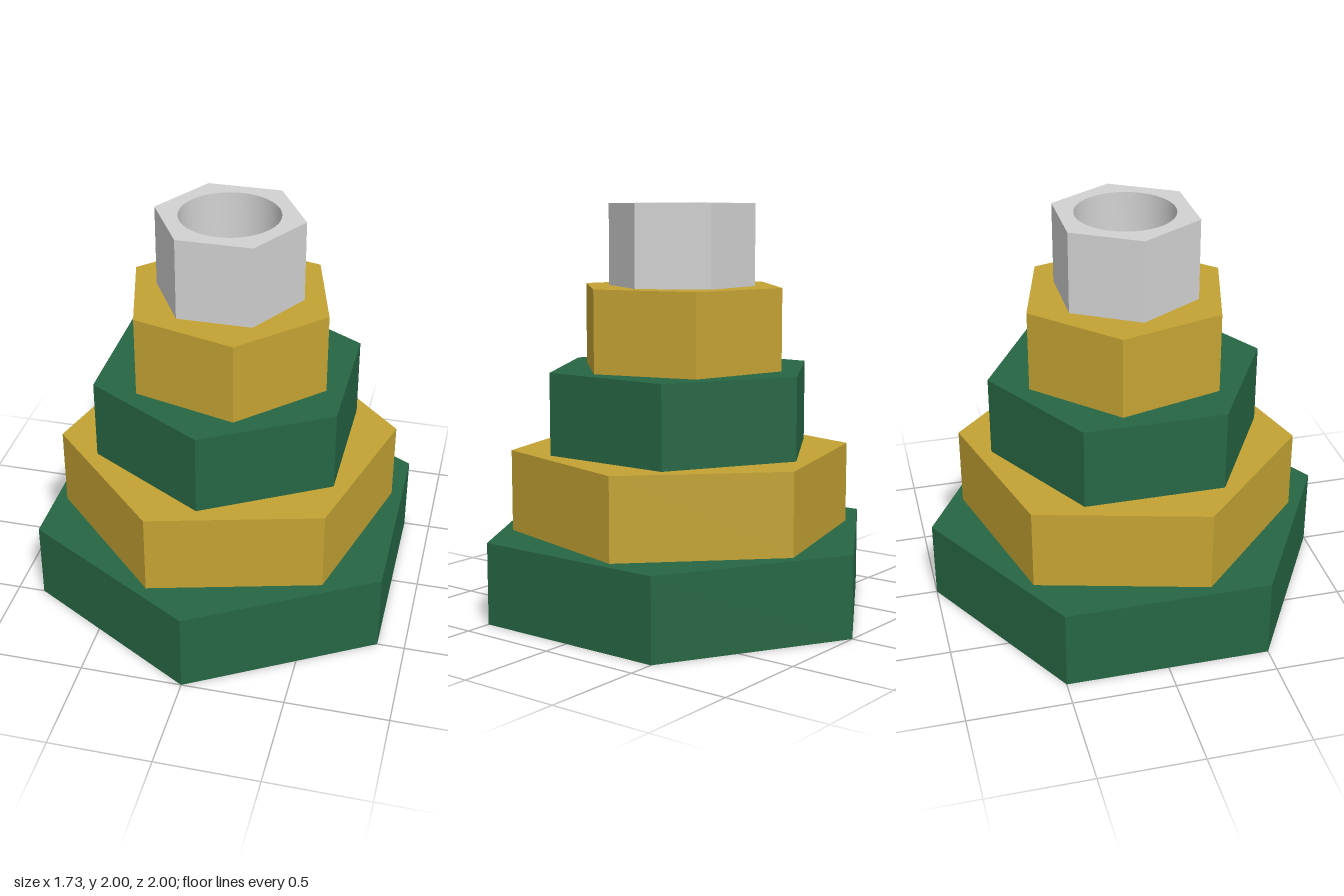
import * as THREE from 'three';
import { toCreasedNormals } from 'three/addons/utils/BufferGeometryUtils.js';

const TIER_HEIGHT = 0.4;
const BORE_RADIUS = 0.24;

// Upright hexagonal prism with a round bore; angle is that of its first corner
function hexTier(radius, angle) {
  const corners = [];
  for (let i = 0; i < 6; i++) {
    const a = THREE.MathUtils.degToRad(angle + i * 60);
    corners.push(new THREE.Vector2(radius * Math.cos(a), radius * Math.sin(a)));
  }
  const shape = new THREE.Shape(corners);
  shape.holes.push(new THREE.Path().absarc(0, 0, BORE_RADIUS, 0, Math.PI * 2, true));
  const geometry = new THREE.ExtrudeGeometry(shape, {
    depth: TIER_HEIGHT, bevelEnabled: false, curveSegments: 32,
  });
  geometry.rotateX(-Math.PI / 2);
  return toCreasedNormals(geometry, 0.5); // smooth bore, sharp hexagon edges
}

export function createModel() {
  const green = new THREE.MeshStandardMaterial({ name: 'dark green', color: 0x266644 });
  const gold = new THREE.MeshStandardMaterial({ name: 'gold', color: 0xc4a333 });
  const silver = new THREE.MeshStandardMaterial({ name: 'silver', color: 0xd2d2d2 });

  // Tiers from the bottom up, each smaller and twisted against the one below
  const tiers = [
    { name: 'baseTier', radius: 1.0, angle: 30, material: green },
    { name: 'secondTier', radius: 0.84, angle: 15, material: gold },
    { name: 'middleTier', radius: 0.68, angle: 30, material: green },
    { name: 'fourthTier', radius: 0.52, angle: 45, material: gold },
    { name: 'topNut', radius: 0.36, angle: 0, material: silver },
  ];

  const model = new THREE.Group();
  model.name = 'hexTower';
  tiers.forEach(({ name, radius, angle, material }, i) => {
    const tier = new THREE.Mesh(hexTier(radius, angle), material);
    tier.name = name;
    tier.position.y = i * TIER_HEIGHT;
    model.add(tier);
  });
  return model;
}
